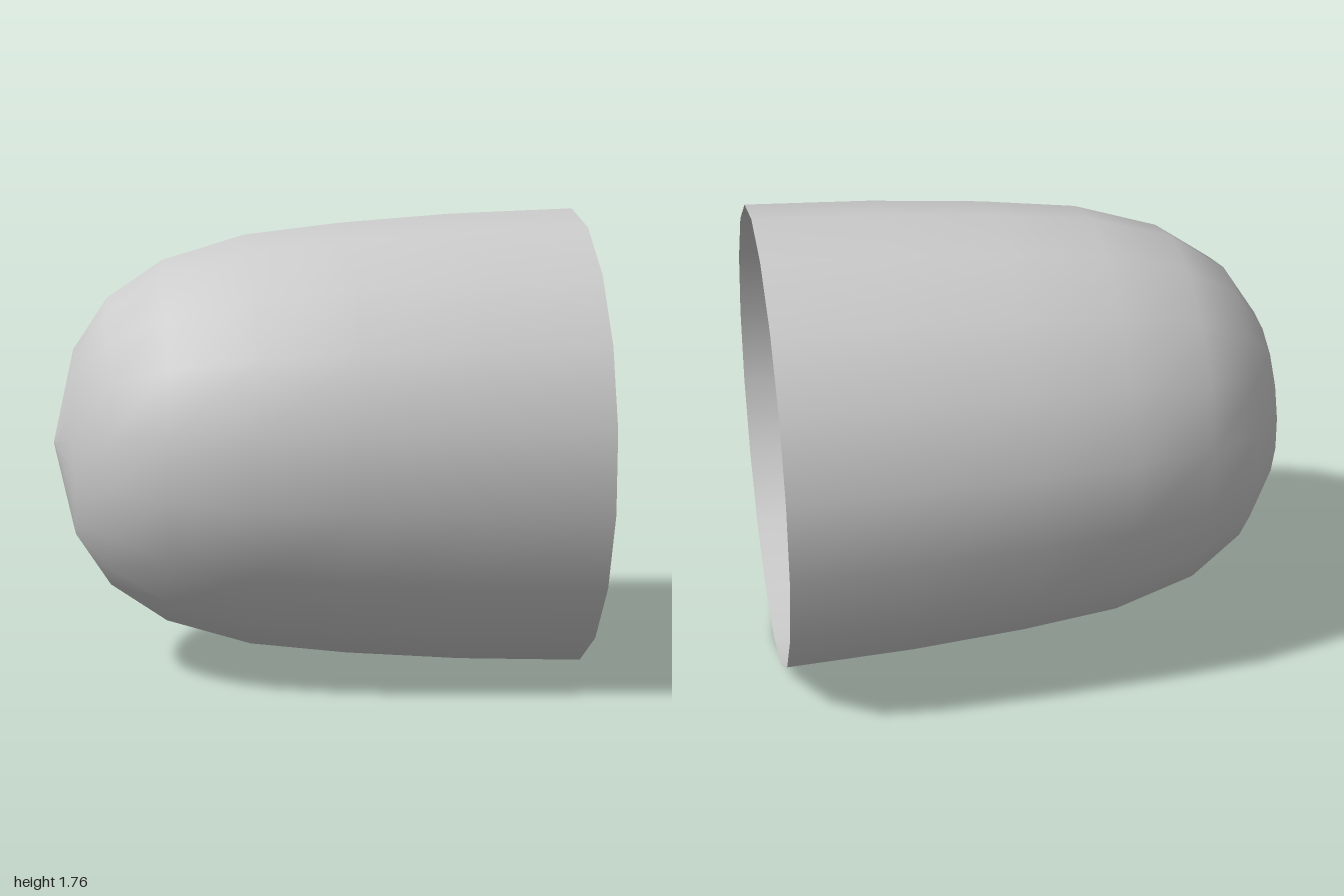
import * as THREE from 'three';

export function createModel() {
  const group = new THREE.Group();
  const sides = 18;
  const radius = 0.8825;

  // Profile as [radius, position along the axis], from the closed nose to the open rim
  const profile = [
    [0, -1], [0.357, -0.92], [0.553, -0.79], [0.695, -0.58],
    [0.79, -0.265], [0.833, 0.1], [0.865, 0.53], [radius, 1],
  ].map(([r, a]) => new THREE.Vector2(r, a));

  // Open, thin dome shell laid on its side, with the rim facing +x
  const geometry = new THREE.LatheGeometry(profile, sides, Math.PI / 2);
  geometry.rotateZ(-Math.PI / 2);
  geometry.translate(0, radius, 0);

  const material = new THREE.MeshStandardMaterial({ color: 0xcccccc, side: THREE.DoubleSide });
  const shell = new THREE.Mesh(geometry, material);
  shell.name = 'domeShell';
  group.add(shell);
  return group;
}
